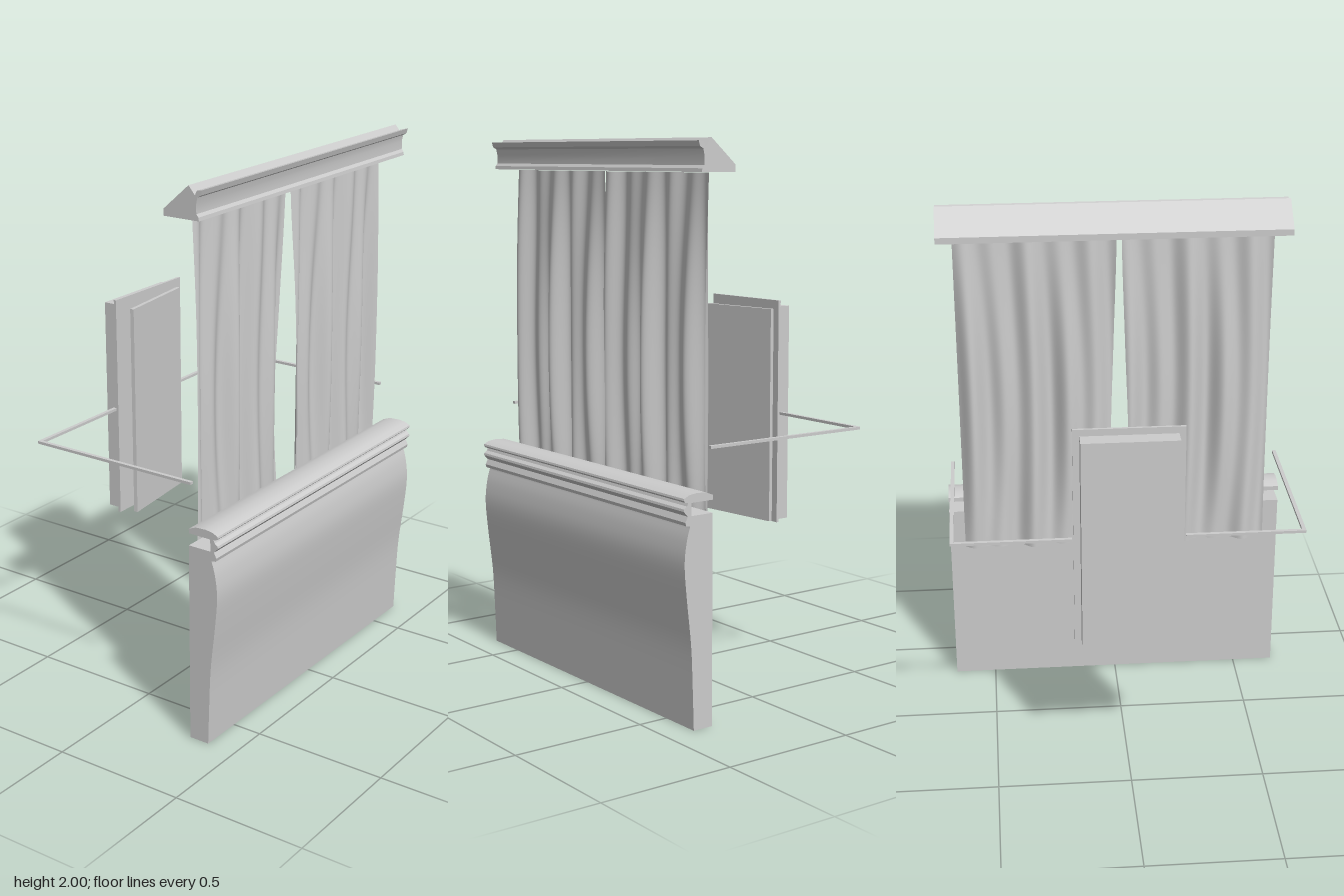
import * as THREE from 'three';
import { toCreasedNormals } from 'three/addons/utils/BufferGeometryUtils.js';

const grey = new THREE.MeshStandardMaterial({ color: 0xcccccc });
grey.name = 'light grey';
const greyCloth = new THREE.MeshStandardMaterial({ color: 0xcccccc, side: THREE.DoubleSide });
greyCloth.name = 'light grey cloth';

const WIDTH = 1.32;

export function createModel() {
  const model = new THREE.Group();

  const add = (name, geometry, material = grey) => {
    const mesh = new THREE.Mesh(geometry, material);
    mesh.name = name;
    model.add(mesh);
    return mesh;
  };

  // Moulding: a [z, y] profile swept along the whole width
  const moulding = (name, points) => {
    const shape = new THREE.Shape(points.map(([z, y]) => new THREE.Vector2(z, y)));
    const g = new THREE.ExtrudeGeometry(shape, { depth: WIDTH, bevelEnabled: false });
    g.translate(0, 0, -WIDTH / 2);
    g.rotateY(-Math.PI / 2);
    add(name, toCreasedNormals(g, 0.5));
  };

  const box = (name, w, h, d, x, y, z) => {
    const mesh = add(name, new THREE.BoxGeometry(w, h, d));
    mesh.position.set(x, y, z);
    return mesh;
  };

  // Lower apron with a gently bulging front
  const bulge = new THREE.SplineCurve([
    [0.388, 0], [0.393, 0.15], [0.4, 0.3], [0.418, 0.46], [0.428, 0.58], [0.42, 0.66], [0.405, 0.715],
  ].map(([z, y]) => new THREE.Vector2(z, y))).getPoints(24).map((p) => [p.x, p.y]);
  moulding('apron', [[0.31, 0], ...bulge, [0.405, 0.75], [0.31, 0.75]]);

  // Trim in front of the open slot, and the ledge above it
  moulding('apronTrim', [
    [0.4, 0.715], [0.422, 0.718], [0.425, 0.73], [0.415, 0.75], [0.432, 0.768],
    [0.43, 0.776], [0.418, 0.785], [0.412, 0.8], [0.4, 0.8],
  ]);
  moulding('ledge', [
    [0.31, 0.795], [0.405, 0.795], [0.425, 0.798], [0.432, 0.805], [0.43, 0.812],
    [0.41, 0.822], [0.38, 0.826], [0.34, 0.824], [0.31, 0.812],
  ]);

  // Cornice with a sloping back
  moulding('cornice', [
    [0.22, 1.888], [0.36, 1.888], [0.358, 1.9], [0.35, 1.91], [0.349, 1.94], [0.354, 1.964],
    [0.368, 1.972], [0.373, 1.99], [0.352, 1.986], [0.345, 1.97], [0.32, 2], [0.22, 1.912],
  ]);

  // Curtains: thin folded sheets whose inner edges part in the middle
  const fold = (x, t) => {
    const depth = 0.016 + 0.016 * Math.sin(Math.PI * Math.min(1, t * 0.85));
    const drift = 0.025 * Math.sin(t * 3);
    return 0.28 + depth * (0.55 * Math.sin((x + drift) * 52) + 0.45 * Math.sin((x - drift) * 31 + 1.3));
  };
  const curtain = (name, outer, innerTop, innerMid, innerLow) => {
    const inner = new THREE.SplineCurve([
      new THREE.Vector2(innerTop, 0), new THREE.Vector2((innerTop + innerMid) / 2, 0.17),
      new THREE.Vector2(innerMid, 0.5), new THREE.Vector2(innerLow, 1),
    ]);
    const g = new THREE.PlaneGeometry(1, 1, 90, 24);
    const p = g.attributes.position;
    for (let i = 0; i < p.count; i++) {
      const u = p.getX(i) + 0.5;
      const t = 0.5 - p.getY(i);
      const edge = inner.getPoint(t).x;
      const x = outer < 0 ? outer + (edge - outer) * u : edge + (outer - edge) * u;
      p.setXYZ(i, x, 1.885 - 1.28 * t, fold(x, t));
    }
    g.computeVertexNormals();
    add(name, g, greyCloth);
  };
  curtain('rightCurtain', -0.6, -0.026, -0.05, -0.038);
  curtain('leftCurtain', 0.6, -0.008, 0.014, 0.008);

  // Thin rail running round the sides and part of the back
  for (const s of [-1, 1]) {
    box('sideRail', 0.014, 0.01, 0.68, s * 0.635, 0.97, -0.035);
    box('backRail', 0.435, 0.01, 0.014, s * 0.4225, 0.97, -0.37);
  }

  // Cabinet at the back, its face plate and the door standing ajar
  box('cabinet', 0.35, 0.825, 0.062, 0, 0.9625, -0.401);
  box('facePlate', 0.4, 0.855, 0.01, 0, 0.9725, -0.364);
  const door = box('door', 0.345, 0.82, 0.015, 0.003, 0.957, -0.329);
  door.rotation.y = Math.atan2(0.04, 0.34);

  return model;
}
